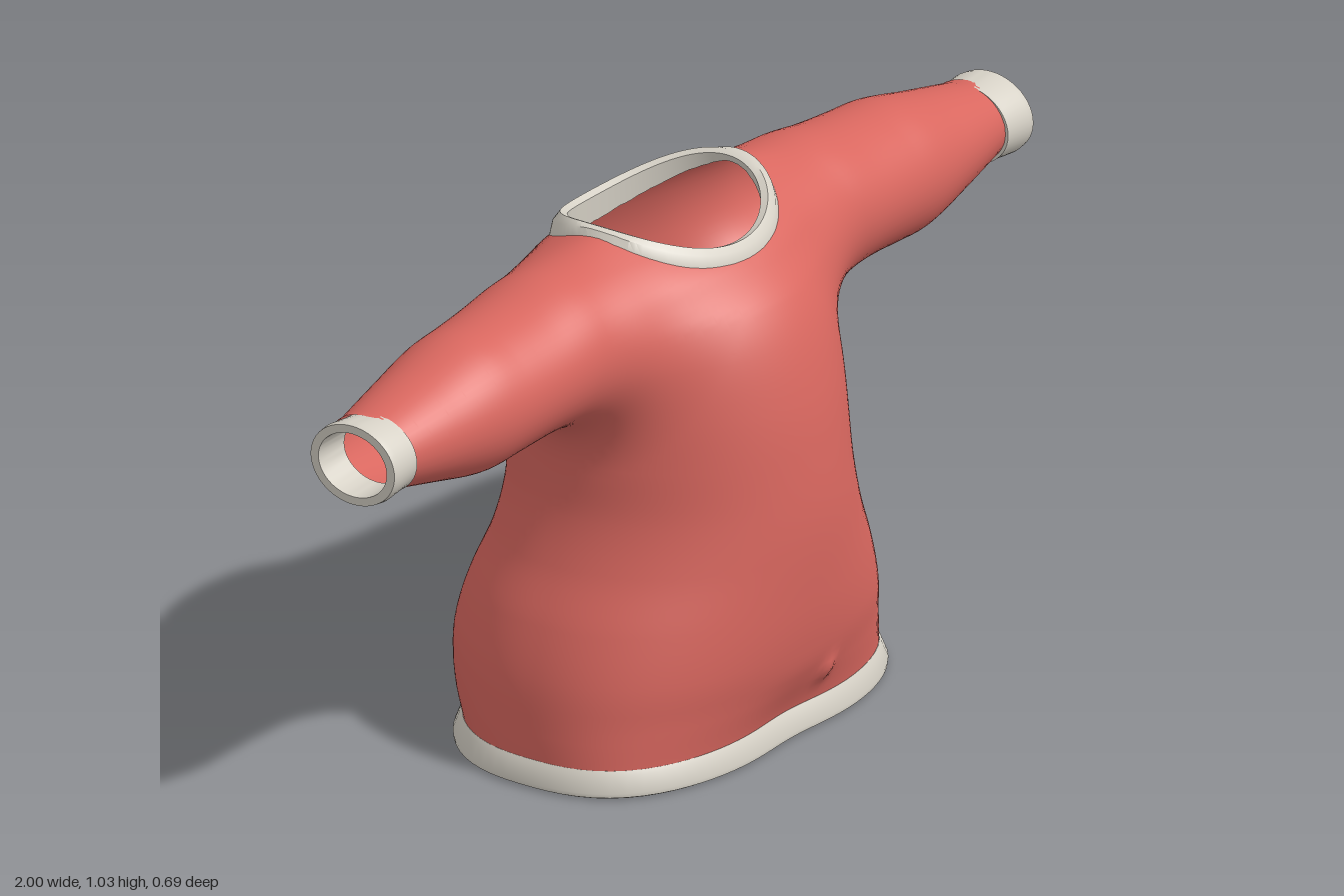
import * as THREE from 'three';
import { toCreasedNormals } from 'three/addons/utils/BufferGeometryUtils.js';

// Smooth curve through [position, value] keys
function curve(...keys) {
  const slope = (i) => {
    const a = keys[Math.max(i - 1, 0)], b = keys[Math.min(i + 1, keys.length - 1)];
    return (b[1] - a[1]) / (b[0] - a[0]);
  };
  const slopes = keys.map((_, i) => slope(i));
  return (t) => {
    const last = keys.length - 1;
    if (t <= keys[0][0]) return keys[0][1];
    if (t >= keys[last][0]) return keys[last][1];
    let i = 0;
    while (t > keys[i + 1][0]) i++;
    const w = keys[i + 1][0] - keys[i][0], s = (t - keys[i][0]) / w, s2 = s * s, s3 = s2 * s;
    return keys[i][1] * (2 * s3 - 3 * s2 + 1) + keys[i + 1][1] * (3 * s2 - 2 * s3)
      + w * (slopes[i] * (s3 - 2 * s2 + s) + slopes[i + 1] * (s3 - s2));
  };
}

// Torso profiles by height
const halfWidth = curve([0, .456], [.1, .452], [.2, .44], [.3, .41], [.4, .366], [.5, .337], [.6, .33],
  [.8, .32], [.9, .295], [.95, .275], [.99, .25], [1.02, .2], [1.04, .1]);
const frontDepth = curve([0, .272], [.05, .282], [.12, .303], [.2, .325], [.3, .338], [.45, .345], [.6, .335],
  [.7, .32], [.8, .293], [.87, .258], [.92, .212], [.95, .18], [.98, .13], [1, .09], [1.03, .03]);
const backDepth = curve([0, .29], [.05, .307], [.1, .33], [.15, .342], [.2, .345], [.25, .336], [.3, .32], [.4, .28],
  [.5, .261], [.6, .262], [.7, .265], [.8, .26], [.87, .24], [.93, .203], [.97, .15], [1, .09], [1.03, .03]);
const frontPower = curve([0, 3], [.15, 2.4], [.45, 2], [1, 2]);
const hemDent = curve([0, .06], [.05, .055], [.14, 0], [.2, 0]);

// Sleeve profiles by distance from the middle
const sleeveY = curve([0, .86], [.25, .86], [.45, .854], [.68, .84], [.93, .839]);
const sleeveHigh = curve([0, .08], [.2, .125], [.3, .14], [.4, .145], [.5, .135], [.6, .133], [.68, .132], [.8, .105], [.93, .0755]);
const sleeveDeep = curve([0, .08], [.2, .13], [.3, .155], [.4, .155], [.55, .147], [.68, .138], [.8, .118], [.93, .092]);

// Torso radius in the direction (c, s) at height y
function torsoRadius(c, s, y) {
  const n = s > 0 ? frontPower(y) : 2.3;
  const depth = s > 0 ? frontDepth(y) : backDepth(y);
  const r = (Math.abs(c / halfWidth(y)) ** n + Math.abs(s / depth) ** n) ** (-1 / n);
  return s > 0 ? r * (1 - hemDent(y) * Math.exp(-((c * r / .12) ** 2))) : r;
}

// Signed field of the cloth: torso and sleeves softly merged, with a little pucker in front
function cloth(x, y, z) {
  const len = Math.hypot(x, z) || 1e-6;
  let torso = len - torsoRadius(x / len, z / len, y);
  if (z > 0) torso -= .012 * Math.exp(-((x - .08) ** 2 + (y - .115) ** 2) / .0006);
  torso = Math.max(torso, y - 1.035);
  const ax = Math.abs(x), dy = y - sleeveY(ax), d = Math.hypot(dy, z) || 1e-6;
  const sleeve = d - 1 / Math.hypot(dy / d / sleeveHigh(ax), z / d / sleeveDeep(ax));
  const k = .14, h = Math.max(k - Math.abs(torso - sleeve), 0) / k;
  return Math.min(torso, sleeve) - h * h * k / 4;
}

function gradient(x, y, z) {
  const e = .002;
  return new THREE.Vector3(cloth(x + e, y, z) - cloth(x - e, y, z),
    cloth(x, y + e, z) - cloth(x, y - e, z),
    cloth(x, y, z + e) - cloth(x, y, z - e)).divideScalar(2 * e);
}

const neckZ = -.0125;

// Cloth that stays: not past the cuffs, the hem or the neckline
function kept(p) {
  const inNeck = p.y > .85 && Math.hypot(p.x / .21, (p.z - neckZ) / .177) < 1;
  return Math.abs(p.x) < .96 && p.y > .022 && !inNeck;
}

// Quad skin over the field, one vertex per grid cell on the surface
function clothGeometry() {
  const step = .018, size = [112, 62, 44], start = [-1.008, -.036, -.396];
  const stride = [1, size[0], size[0] * size[1]];
  const at = (i, axis) => start[axis] + i * step;
  const values = new Float32Array(size[0] * size[1] * size[2]);
  const each = (visit) => {
    for (let k = 0; k < size[2]; k++) for (let j = 0; j < size[1]; j++) for (let i = 0; i < size[0]; i++) {
      visit([i, j, k], i + j * stride[1] + k * stride[2]);
    }
  };
  each((c, id) => { values[id] = cloth(at(c[0], 0), at(c[1], 1), at(c[2], 2)); });

  const positions = [], normals = [], index = [], points = [], lookup = new Map();
  const vertex = (id) => {
    if (lookup.has(id)) return lookup.get(id);
    const i = id % size[0], j = Math.floor(id / stride[1]) % size[1], k = Math.floor(id / stride[2]);
    const p = new THREE.Vector3(at(i + .5, 0), at(j + .5, 1), at(k + .5, 2));
    for (let n = 0; n < 5; n++) {
      const g = gradient(p.x, p.y, p.z);
      p.addScaledVector(g, -cloth(p.x, p.y, p.z) / Math.max(g.lengthSq(), .2));
    }
    const normal = gradient(p.x, p.y, p.z).normalize();
    positions.push(p.x, p.y, p.z);
    normals.push(normal.x, normal.y, normal.z);
    lookup.set(id, points.push(p) - 1);
    return points.length - 1;
  };
  each((c, id) => {
    for (let axis = 0; axis < 3; axis++) {
      const u = (axis + 1) % 3, v = (axis + 2) % 3;
      if (c[axis] + 1 >= size[axis] || !c[u] || !c[v]) continue;
      const inside = values[id] < 0;
      if (inside === values[id + stride[axis]] < 0) continue;
      const quad = [id - stride[u] - stride[v], id - stride[v], id, id - stride[u]].map(vertex);
      if (!quad.every((q) => kept(points[q]))) continue;
      if (!inside) quad.reverse();
      index.push(quad[0], quad[1], quad[2], quad[0], quad[2], quad[3]);
    }
  });
  const geometry = new THREE.BufferGeometry();
  geometry.setAttribute('position', new THREE.Float32BufferAttribute(positions, 3));
  geometry.setAttribute('normal', new THREE.Float32BufferAttribute(normals, 3));
  geometry.setIndex(index);
  return geometry;
}

// Closed band: profile(angle) gives its cross-section points, swept once around
function bandGeometry(profile, segments = 96) {
  const positions = [], index = [];
  let n = 0;
  for (let j = 0; j < segments; j++) {
    const ring = profile(j / segments * Math.PI * 2);
    n = ring.length;
    ring.forEach((p) => positions.push(...p));
  }
  for (let j = 0; j < segments; j++) for (let i = 0; i < n; i++) {
    const j2 = (j + 1) % segments, i2 = (i + 1) % n;
    const a = j * n + i, b = j * n + i2, c = j2 * n + i2, d = j2 * n + i;
    index.push(a, d, b, b, d, c);
  }
  const geometry = new THREE.BufferGeometry();
  geometry.setAttribute('position', new THREE.Float32BufferAttribute(positions, 3));
  geometry.setIndex(index);
  return toCreasedNormals(geometry, .8);
}

// Waistband following the bottom of the torso
function hemProfile(t) {
  const c = Math.cos(t), s = Math.sin(t), r = torsoRadius(c, s, .05);
  return [[.001, .051], [.006, .043], [.019, .012], [.018, .004], [.01, 0], [-.006, .003], [-.012, .012], [-.01, .048]]
    .map(([out, y]) => [c * (r + out), y, s * (r + out)]);
}

// Neckband resting on the shoulders and dipping at front and back
function neckProfile(t) {
  const c = Math.cos(t), s = Math.sin(t), top = .977 + .058 * c * c;
  let low = 1.04;
  while (low > .85 && cloth(.235 * c, low, neckZ + .1975 * s) > 0) low -= .002;
  low = Math.min(low, top - .015);
  return [[.213, .18, top], [.228, .193, (top + low) / 2 + .006], [.236, .198, low], [.203, .17, low - .004], [.2, .166, top - .006]]
    .map(([rx, rz, y]) => [rx * c, y, neckZ + rz * s]);
}

// Sleeve end for one side
function cuffProfile(side) {
  return (t) => [[.925, .077, .093], [.935, .0765, .0925], [.985, .081, .098], [1, .079, .096], [1, .063, .078], [.925, .06, .074]]
    .map(([x, ry, rz]) => [side * x, .837 + ry * Math.cos(t), .006 + side * rz * Math.sin(t)]);
}

export function createModel() {
  const red = new THREE.MeshStandardMaterial({ color: 0xd9675f, side: THREE.DoubleSide });
  red.name = 'coralRed';
  const cream = new THREE.MeshStandardMaterial({ color: 0xd6d1c6, side: THREE.DoubleSide });
  cream.name = 'paleCream';

  const group = new THREE.Group();
  group.name = 'sweater';
  const add = (name, geometry, material) => {
    const mesh = new THREE.Mesh(geometry, material);
    mesh.name = name;
    group.add(mesh);
  };
  add('bodyAndSleeves', clothGeometry(), red);
  add('hemBand', bandGeometry(hemProfile), cream);
  add('neckBand', bandGeometry(neckProfile), cream);
  add('leftCuff', bandGeometry(cuffProfile(1), 48), cream);
  add('rightCuff', bandGeometry(cuffProfile(-1), 48), cream);
  return group;
}
